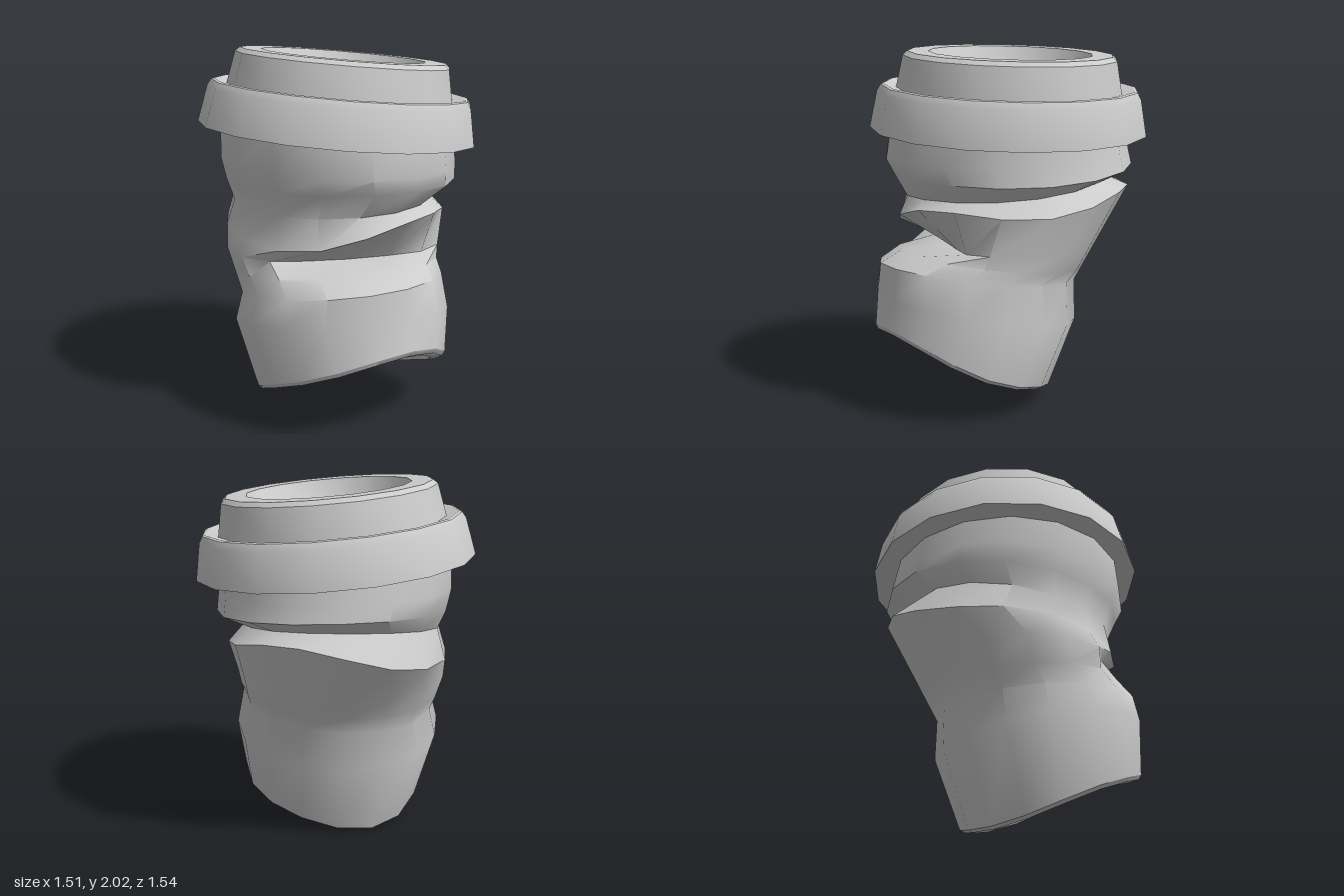
import * as THREE from 'three';
import { toCreasedNormals } from 'three/addons/utils/BufferGeometryUtils.js';

const SIDES = 16;
const material = new THREE.MeshStandardMaterial({ color: 0xcccccc, side: THREE.DoubleSide });

// One cup section: front [z,y], left [x,y], back [z,y], right [x,y]; dent flattens the front
function section({ f, l, b, r, dent = Infinity, wobble = 0 }) {
  const cx = (l[0] + r[0]) / 2, wx = (l[0] - r[0]) / 2;
  const cz = (f[0] + b[0]) / 2, wz = (f[0] - b[0]) / 2;
  const mean = (f[1] + b[1] + l[1] + r[1]) / 4;
  const twist = (f[1] + b[1] - l[1] - r[1]) / 4;
  return Array.from({ length: SIDES }, (_, i) => {
    const t = (i / SIDES) * Math.PI * 2, s = Math.sin(t), c = Math.cos(t);
    const y = mean + c * (f[1] - b[1]) / 2 + s * (l[1] - r[1]) / 2 + twist * Math.cos(2 * t);
    return new THREE.Vector3(cx + wx * s, y + wobble * Math.sin(3 * t), Math.min(cz + wz * c, dent));
  });
}

// Joins the sections, listed from the bottom up, into one skin
function loft(rows) {
  const index = [];
  for (let i = 0; i < rows.length - 1; i++) {
    for (let j = 0; j < SIDES; j++) {
      const k = (j + 1) % SIDES;
      const a = i * SIDES + j, b = i * SIDES + k;
      index.push(a, b, b + SIDES, a, b + SIDES, a + SIDES);
    }
  }
  const geometry = new THREE.BufferGeometry().setFromPoints(rows.flat());
  geometry.setIndex(index);
  return toCreasedNormals(geometry, 0.75);
}

function addMesh(group, name, geometry) {
  const mesh = new THREE.Mesh(geometry, material);
  mesh.name = name;
  group.add(mesh);
}

export function createModel() {
  const group = new THREE.Group();
  group.name = 'crushedCup';

  // Crumpled wall: tilted foot, deep front fold, lip, crease and straight collar
  const wall = [
    { f: [0.77, 0.46], l: [0.53, 0.27], b: [-0.22, 0.02], r: [-0.53, 0.16], wobble: 0.02 },
    { f: [0.75, 0.63], l: [0.57, 0.55], b: [-0.385, 0.44], r: [-0.63, 0.55] },
    { f: [0.73, 0.80], l: [0.53, 0.76], b: [-0.385, 0.66], r: [-0.59, 0.70] },
    { f: [0.61, 0.865], l: [0.54, 0.82], b: [-0.44, 0.76], r: [-0.61, 0.79] },
    { f: [0.60, 0.89], l: [0.555, 0.91], b: [-0.50, 0.86], r: [-0.645, 0.92], dent: 0.35 },
    { f: [0.62, 1.07], l: [0.60, 1.14], b: [-0.70, 1.165], r: [-0.63, 1.0], wobble: 0.035 },
    { f: [0.57, 1.17], l: [0.51, 1.20], b: [-0.58, 1.27], r: [-0.59, 1.18] },
    { f: [0.65, 1.30], l: [0.66, 1.28], b: [-0.70, 1.35], r: [-0.63, 1.30] },
    { f: [0.69, 1.38], l: [0.65, 1.38], b: [-0.69, 1.42], r: [-0.66, 1.42] },
    { f: [0.66, 1.57], l: [0.64, 1.53], b: [-0.66, 1.57], r: [-0.655, 1.64] },
  ].map(section);

  // Recessed underside within the bevelled foot rim
  const foot = wall[0];
  const centre = new THREE.Vector3(0, 0.23, 0.275);
  const inward = new THREE.Vector3(-0.1, 1, -0.45).normalize();
  const footRing = (scale, inset) => foot.map((p) =>
    p.clone().sub(centre).multiplyScalar(scale).add(centre).addScaledVector(inward, inset));
  addMesh(group, 'cupWall', loft(wall));
  addMesh(group, 'cupBase', loft([
    footRing(0, 0.06), footRing(0.77, 0.06), footRing(0.85, -0.02), footRing(0.96, -0.02), foot,
  ]));

  // Stepped lid with a recessed top, sitting askew on the cup
  const profile = [
    [0.60, 0.0], [0.775, 0.0], [0.735, 0.2], [0.715, 0.235], [0.70, 0.24], [0.63, 0.22],
    [0.595, 0.395], [0.57, 0.418], [0.455, 0.418], [0.39, 0.3], [0, 0.3],
  ].map(([x, y]) => new THREE.Vector2(x, y));
  const lid = new THREE.LatheGeometry(profile, SIDES, Math.PI / SIDES);
  lid.rotateZ(-0.087);
  lid.translate(0, 1.535, -0.01);
  addMesh(group, 'lid', toCreasedNormals(lid, 0.5));

  return group;
}
